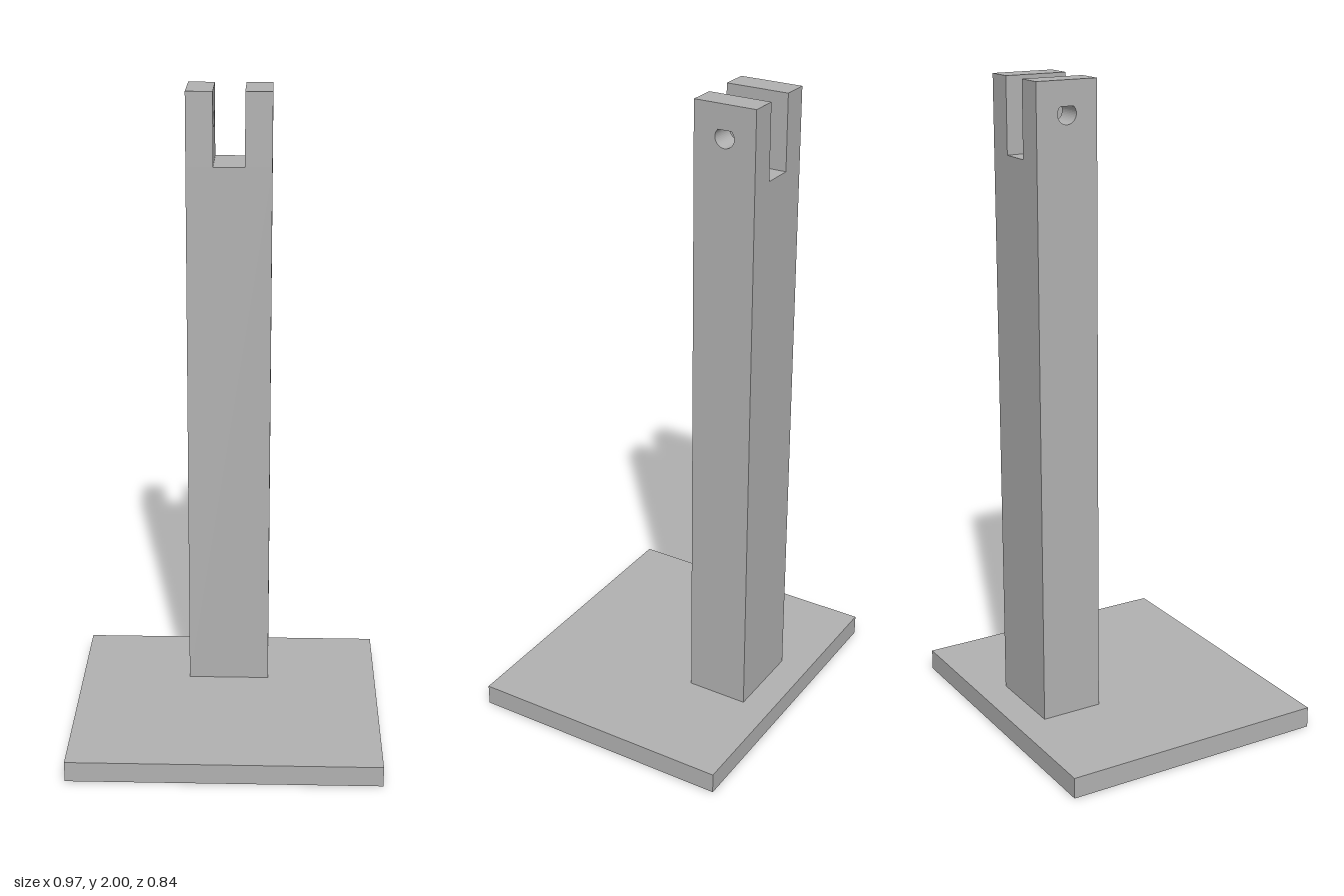
import * as THREE from 'three';

export function createModel() {
  const group = new THREE.Group();
  const grey = new THREE.MeshStandardMaterial({ color: 0xb2b2b2 });
  grey.name = 'grey';

  const baseTop = 0.065, slotFloor = 1.776, top = 2;
  const halfWidth = 0.13, halfSlot = 0.048;
  const zFront = -0.13, zBack = -0.323, zMid = (zFront + zBack) / 2;

  function add(name, geometry, x, y, z) {
    const mesh = new THREE.Mesh(geometry, grey);
    mesh.name = name;
    mesh.position.set(x, y, z);
    group.add(mesh);
  }

  // Flat base plate
  add('basePlate', new THREE.BoxGeometry(0.968, baseTop, 0.836), 0, baseTop / 2, 0);

  // Upright column, up to the floor of the slot
  add('column', new THREE.BoxGeometry(halfWidth * 2, slotFloor - baseTop, zFront - zBack),
    0, (baseTop + slotFloor) / 2, zMid);

  // Fork prong side profile with a teardrop pin hole
  const half = (zFront - zBack) / 2;
  const profile = new THREE.Shape();
  profile.moveTo(-half, slotFloor);
  profile.lineTo(half, slotFloor);
  profile.lineTo(half, top);
  profile.lineTo(-half, top);
  profile.closePath();
  const hole = new THREE.Path();
  const holeY = 1.906, radius = 0.03;
  hole.moveTo(0, holeY + radius * Math.SQRT2);
  hole.absarc(0, holeY, radius, Math.PI / 4, Math.PI * 3 / 4, true);
  hole.closePath();
  profile.holes.push(hole);
  const prong = new THREE.ExtrudeGeometry(profile, {
    depth: halfWidth - halfSlot, bevelEnabled: false, curveSegments: 16,
  });
  prong.rotateY(Math.PI / 2);

  // One prong on each side of the slot
  add('leftProng', prong, halfSlot, 0, zMid);
  add('rightProng', prong, -halfWidth, 0, zMid);

  return group;
}
